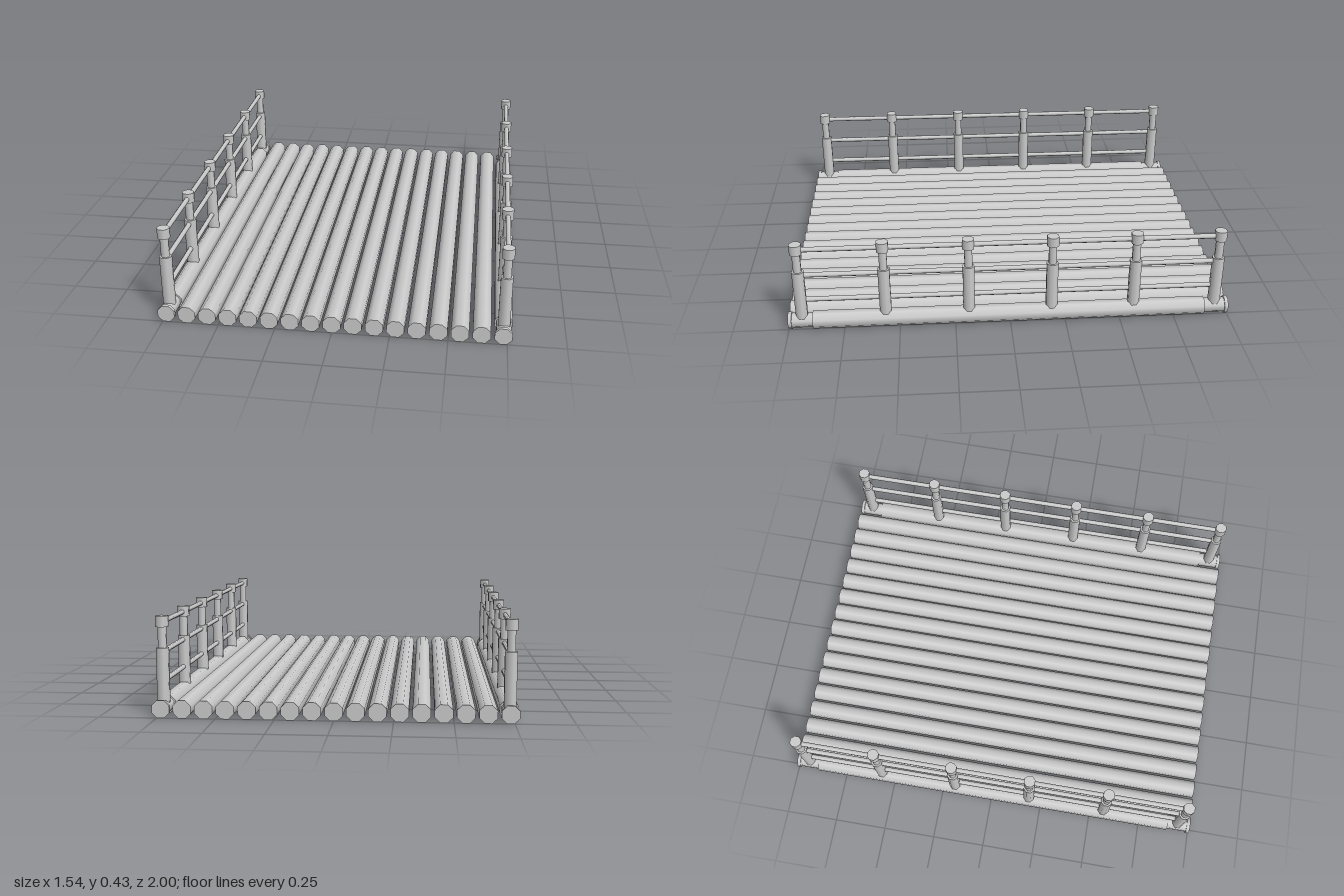
import * as THREE from 'three';

const material = new THREE.MeshStandardMaterial({ color: 0xcccccc });

// Smooth-shaded octagonal cylinder, flats facing the axes
function rod(name, radius, length, alongZ) {
  const geometry = new THREE.CylinderGeometry(radius, radius, length, 8);
  geometry.rotateY(Math.PI / 8);
  if (alongZ) geometry.rotateX(Math.PI / 2);
  const mesh = new THREE.Mesh(geometry, material);
  mesh.name = name;
  return mesh;
}

function place(parent, mesh, x, y, z) {
  mesh.position.set(x, y, z);
  parent.add(mesh);
}

// Post: thick base, slim neck and cap
function createPost() {
  const post = new THREE.Group();
  post.name = 'post';
  const sections = [
    ['postBase', 0.028, 0.04, 0.293],
    ['postNeck', 0.019, 0.28, 0.39],
    ['postCap', 0.028, 0.382, 0.429],
  ];
  for (const [name, radius, y0, y1] of sections) {
    place(post, rod(name, radius, y1 - y0, false), 0, (y0 + y1) / 2, 0);
  }
  return post;
}

// Edge beam with necked, flanged ends, posts and three rails
function createRailing(x) {
  const railing = new THREE.Group();
  railing.name = x > 0 ? 'leftRailing' : 'rightRailing';
  place(railing, rod('edgeBeam', 0.0415, 1.78, true), 0, 0.0385, 0);
  for (const s of [-1, 1]) {
    place(railing, rod('beamNeck', 0.034, 0.11, true), 0, 0.0385, s * 0.935);
    place(railing, rod('beamFlange', 0.0405, 0.016, true), 0, 0.0385, s * 0.992);
  }
  for (let i = 0; i < 6; i++) {
    place(railing, createPost(), 0, 0, -0.938 + i * 0.3752);
  }
  for (const [y, r] of [[0.148, 0.0115], [0.274, 0.0115], [0.402, 0.0115]]) {
    place(railing, rod('rail', r, 1.876, true), 0, y, 0);
  }
  railing.position.x = x;
  return railing;
}

export function createModel() {
  const model = new THREE.Group();
  model.name = 'logBridge';

  // Deck logs between the two edge beams
  const spacing = 0.0916;
  for (let i = -7; i <= 7; i++) {
    place(model, rod('deckLog', 0.0415, 2, true), i * spacing, 0.0385, 0);
  }

  for (const s of [-1, 1]) model.add(createRailing(s * 8 * spacing));
  return model;
}
